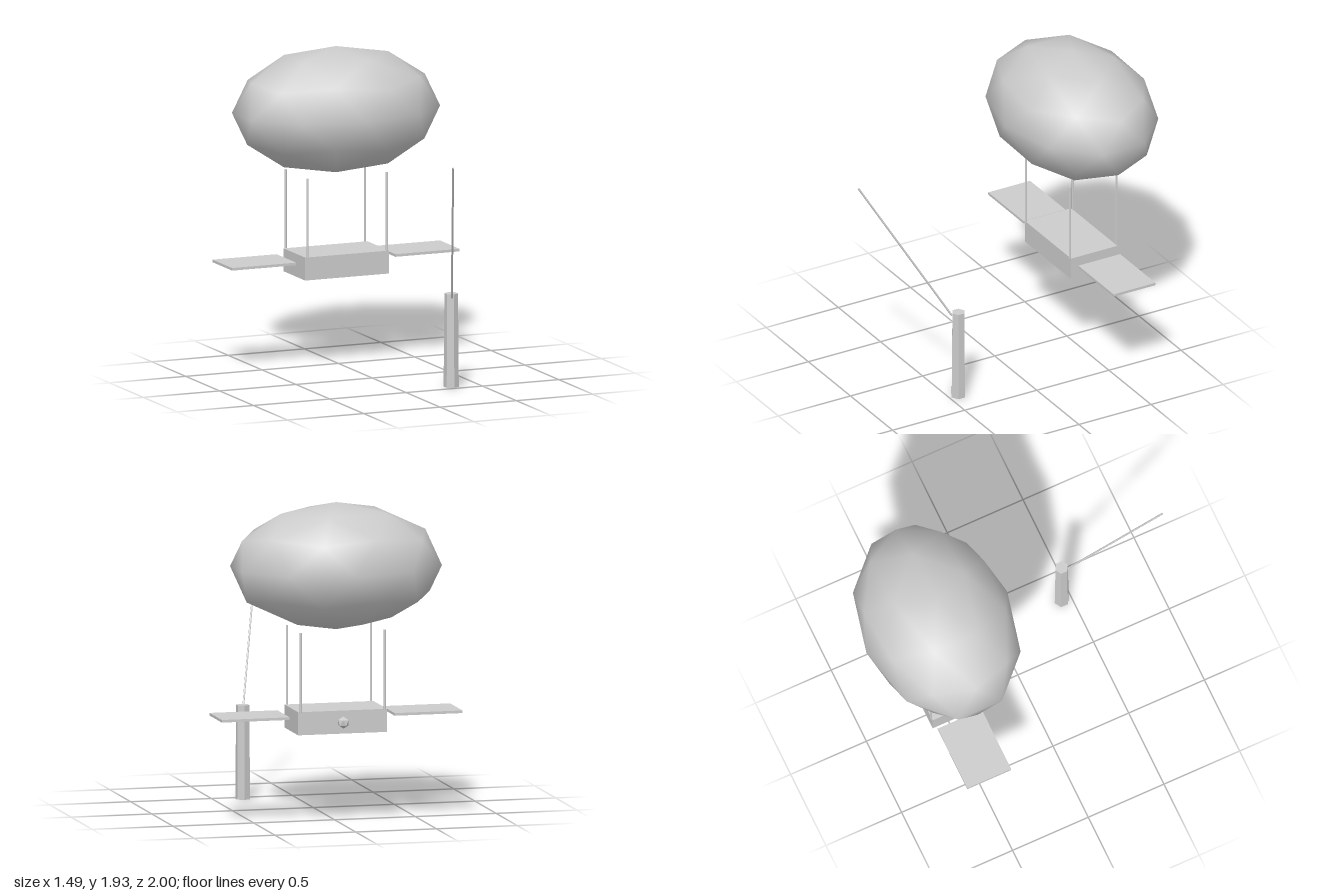
import * as THREE from 'three';

export function createModel() {
  const model = new THREE.Group();
  model.name = 'airship';
  const grey = new THREE.MeshStandardMaterial({ color: 0xcccccc });
  grey.name = 'grey';

  function add(name, geometry, x, y, z) {
    const mesh = new THREE.Mesh(geometry, grey);
    mesh.name = name;
    mesh.position.set(x, y, z);
    model.add(mesh);
    return mesh;
  }

  // Hexagonal prism with flat sides
  function prism(top, bottom, height) {
    const geometry = new THREE.CylinderGeometry(top, bottom, height, 6).toNonIndexed();
    geometry.computeVertexNormals();
    return geometry;
  }

  // Ico sphere turned so that one corner points straight up
  function icoSphere(detail) {
    return new THREE.IcosahedronGeometry(1, detail).rotateZ(-Math.atan(2 / (1 + Math.sqrt(5))));
  }

  // Balloon: coarse ellipsoid with smooth normals
  add('balloon', icoSphere(1).scale(0.65, 0.385, 0.465), 0, 1.545, -0.535);

  // Gondola with a small knob on its back
  add('gondola', new THREE.BoxGeometry(0.55, 0.14, 0.32), 0, 0.62, -0.53);
  add('knob', icoSphere(0).scale(0.037, 0.037, 0.037), 0, 0.62, -0.71);

  // Wings and suspension struts
  for (const side of [-1, 1]) {
    const label = side > 0 ? 'left' : 'right';
    add(label + 'Wing', new THREE.BoxGeometry(0.42, 0.016, 0.29), side * 0.535, 0.652, -0.535);
    add(label + 'FrontStrut', prism(0.007, 0.007, 0.485), side * 0.26, 0.928, -0.37);
    add(label + 'BackStrut', prism(0.007, 0.007, 0.485), side * 0.26, 0.928, -0.693);
  }

  // Mooring post and the slanted line tied to it
  add('mooringPost', prism(0.041, 0.046, 0.57), 0.322, 0.285, 0.44);
  const from = new THREE.Vector3(0.309, 0.55, 0.478);
  const to = new THREE.Vector3(0.088, 1.45, 0.996);
  const along = to.clone().sub(from);
  const middle = from.clone().add(to).multiplyScalar(0.5);
  const line = add('mooringLine', prism(0.006, 0.006, along.length()), middle.x, middle.y, middle.z);
  line.quaternion.setFromUnitVectors(new THREE.Vector3(0, 1, 0), along.normalize());

  return model;
}
